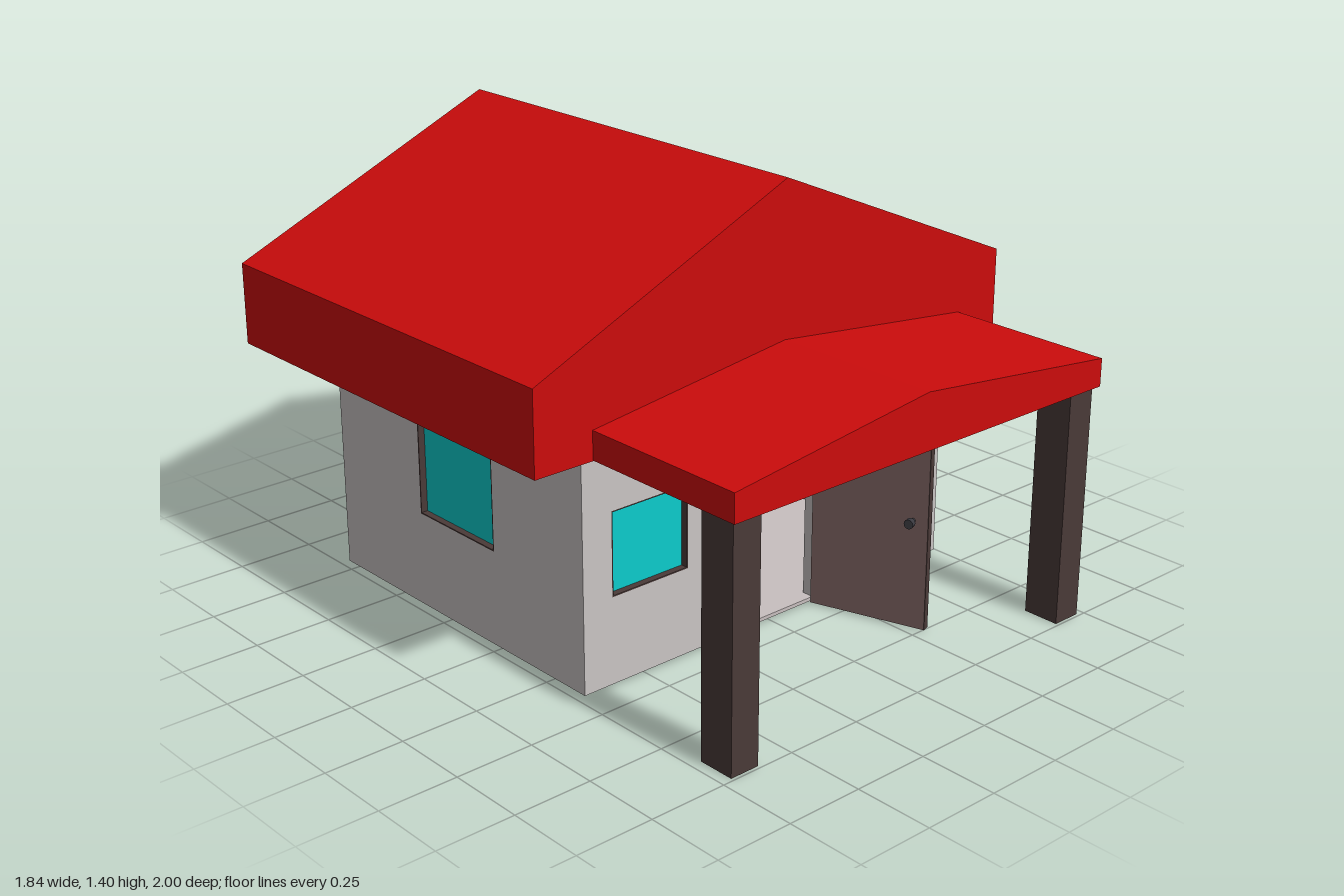
import * as THREE from 'three';

const T = 0.045; // wall thickness
const BASE = 0.01, EAVE = 0.745;

const mat = (color) => new THREE.MeshStandardMaterial({ color });

export function createModel() {
  const house = new THREE.Group();
  house.name = 'house';
  const red = mat(0xcc0c0c), plaster = mat(0xc9c4c3), glass = mat(0x0ccccc);
  const darkWood = mat(0x4a3a38), doorWood = mat(0x785f5e), floorMat = mat(0xc8bfbf), metal = mat(0x3a3a40);

  const add = (parent, name, geometry, material, x = 0, y = 0, z = 0) => {
    const mesh = new THREE.Mesh(geometry, material);
    mesh.name = name;
    mesh.position.set(x, y, z);
    parent.add(mesh);
    return mesh;
  };
  // box given by its minimum and maximum corners
  const box = (parent, name, material, a, b) => add(parent, name,
    new THREE.BoxGeometry(b[0] - a[0], b[1] - a[1], b[2] - a[2]), material,
    (a[0] + b[0]) / 2, (a[1] + b[1]) / 2, (a[2] + b[2]) / 2);
  const points = (list) => list.map(([x, y]) => new THREE.Vector2(x, y));
  const rect = (x0, y0, x1, y1) => points([[x0, y0], [x1, y0], [x1, y1], [x0, y1]]);
  const extrude = (shape, depth) => new THREE.ExtrudeGeometry(shape, { depth, bevelEnabled: false });

  // One wall facing local +z at distance d, with windows [x0, y0, x1, y1] and an optional doorway
  const wall = (name, turn, d, x0, x1, windows, doorway) => {
    const side = new THREE.Group();
    side.name = name;
    side.rotation.y = turn;
    house.add(side);
    const outline = [[x0, BASE]];
    if (doorway) {
      const [a, b, top] = doorway;
      outline.push([a, BASE], [a, top], [b, top], [b, BASE]);
    }
    outline.push([x1, BASE], [x1, EAVE], [x0, EAVE]);
    const shape = new THREE.Shape(points(outline));
    for (const w of windows) {
      shape.holes.push(new THREE.Path(rect(...w)));
      // dark liner of the opening, with the pane set back inside it
      const e = 0.004;
      const ring = new THREE.Shape(rect(...w));
      ring.holes.push(new THREE.Path(rect(w[0] + e, w[1] + e, w[2] - e, w[3] - e)));
      add(side, 'windowFrame', extrude(ring, T), darkWood, 0, 0, d - T);
      box(side, 'windowPane', glass, [w[0] + e, w[1] + e, d - T + 0.012], [w[2] - e, w[3] - e, d - 0.022]);
    }
    add(side, name + 'Panel', extrude(shape, T), plaster, 0, 0, d - T);
  };

  wall('frontWall', 0, 0.40, -0.73, 0.73,
    [[-0.625, 0.285, -0.34, 0.55], [0.34, 0.3, 0.645, 0.56]], [-0.19, 0.18, 0.69]);
  wall('backWall', Math.PI, 0.79, -0.735, 0.73,
    [[-0.515, 0.285, -0.19, 0.61], [0.2, 0.285, 0.525, 0.61]]);
  wall('leftWall', Math.PI / 2, 0.73, -0.40 + T, 0.79 - T, [[0.01, 0.315, 0.375, 0.63]]);
  wall('rightWall', -Math.PI / 2, 0.73, -0.79 + T, 0.40 - T, [[-0.375, 0.315, -0.01, 0.63]]);
  box(house, 'floor', floorMat, [-0.725, 0.008, -0.785], [0.725, 0.02, 0.395]);

  // Gabled roof blocks
  const roof = (name, x0, x1, base, eave, ridge, z0, z1) => add(house, name,
    extrude(new THREE.Shape(points([[x0, base], [x1, base], [x1, eave], [0, ridge], [x0, eave]])), z1 - z0),
    red, 0, 0, z0);
  roof('mainRoof', -0.92, 0.92, 0.74, 1.0, 1.4, -1, 0.44);
  roof('porchRoof', -0.72, 0.75, 0.742, 0.83, 0.917, 0.41, 1);

  // Porch posts
  for (const [name, x] of [['rightPost', -0.665], ['leftPost', 0.677]]) {
    box(house, name, darkWood, [x - 0.049, 0, 0.87], [x + 0.049, 0.75, 0.99]);
  }

  // Open door, hinged on the left edge of the doorway
  const door = new THREE.Group();
  door.name = 'door';
  door.position.set(0.18, 0, 0.395);
  door.rotation.y = -1.245;
  house.add(door);
  box(door, 'doorLeaf', doorWood, [0, 0.006, -0.0125], [0.378, 0.69, 0.0125]);
  box(door, 'doorEdge', darkWood, [0.378, 0.006, -0.0125], [0.381, 0.69, 0.0125]);
  for (const s of [-1, 1]) {
    const stem = add(door, 'knobStem', new THREE.CylinderGeometry(0.007, 0.007, 0.03, 10), metal, 0.332, 0.357, s * 0.022);
    stem.rotation.x = Math.PI / 2;
    const knob = add(door, 'knob', new THREE.CylinderGeometry(0.015, 0.015, 0.018, 12), metal, 0.332, 0.357, s * 0.039);
    knob.rotation.x = Math.PI / 2;
  }
  return house;
}
